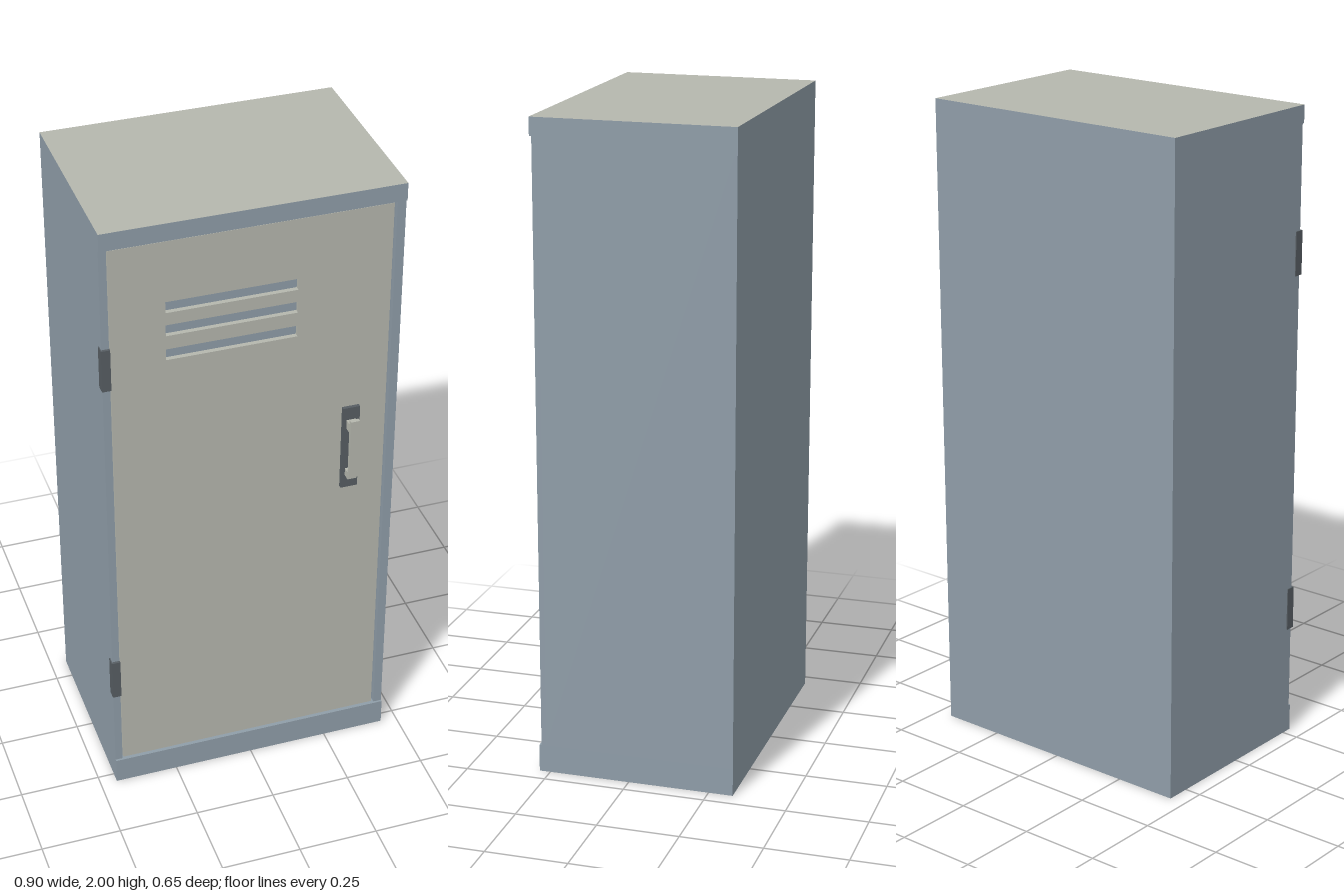
import * as THREE from 'three';

export function createModel() {
  const root = new THREE.Group();
  root.name = 'locker';
  const mat = (name, color) => {
    const m = new THREE.MeshStandardMaterial({ color });
    m.name = name;
    return m;
  };
  const blue = mat('blue grey paint', 0x8f9da8);
  const pale = mat('pale grey paint', 0xb5b7ae);
  const dark = mat('dark metal', 0x575e63);

  // Box given by its lower and upper limits on each axis
  const box = (name, m, [x0, x1], [y0, y1], [z0, z1], parent = root) => {
    const mesh = new THREE.Mesh(new THREE.BoxGeometry(x1 - x0, y1 - y0, z1 - z0), m);
    mesh.position.set((x0 + x1) / 2, (y0 + y1) / 2, (z0 + z1) / 2);
    mesh.name = name;
    parent.add(mesh);
    return mesh;
  };

  const W = 0.448, BACK = -0.325, LIP = 0.284, FACE = 0.277, INNER = 0.262;

  // Cabinet: core with raised side rails, plinth and top lip
  box('cabinetBody', blue, [-W, W], [0.085, 1.945], [BACK, INNER]);
  box('leftRail', blue, [0.422, W], [0.085, 1.945], [INNER, FACE]);
  box('rightRail', blue, [-W, -0.425], [0.085, 1.945], [INNER, FACE]);

  // Top lip has a pale upper face, plinth a dark underside
  const lip = box('topLip', blue, [-W, W], [1.945, 2], [BACK, LIP]);
  lip.material = [blue, blue, pale, blue, blue, blue];
  const plinth = box('plinth', blue, [-W, W], [0, 0.085], [BACK, LIP]);
  plinth.material = [blue, blue, blue, dark, blue, blue];

  // Door panel with three vent slots cut through
  const rect = (Type, x0, x1, y0, y1) => new Type([
    new THREE.Vector2(x0, y0), new THREE.Vector2(x1, y0),
    new THREE.Vector2(x1, y1), new THREE.Vector2(x0, y1),
  ]);
  const panel = rect(THREE.Shape, -0.422, 0.413, 0.09, 1.94);
  for (const y of [1.572, 1.652, 1.728]) {
    panel.holes.push(rect(THREE.Path, -0.26, 0.132, y - 0.018, y + 0.018));
  }
  const door = new THREE.Mesh(
    new THREE.ExtrudeGeometry(panel, { depth: FACE - INNER, bevelEnabled: false }), pale);
  door.position.z = INNER;
  door.name = 'door';
  root.add(door);

  // Hinges on the right rail
  for (const y of [0.42, 1.558]) {
    box('hinge', dark, [-0.451, -0.424], [y - 0.068, y + 0.068], [0.255, 0.285]);
  }

  // Handle: back plate, two brackets and a grip
  const handle = new THREE.Group();
  handle.name = 'handle';
  root.add(handle);
  box('handlePlate', dark, [0.276, 0.329], [0.99, 1.277], [FACE, 0.288], handle);
  for (const [y0, y1] of [[1.035, 1.06], [1.205, 1.235]]) {
    box('handleBracket', pale, [0.288, 0.316], [y0, y1], [0.288, 0.312], handle);
  }
  box('handleGrip', pale, [0.288, 0.316], [1.048, 1.25], [0.311, 0.324], handle);

  return root;
}
